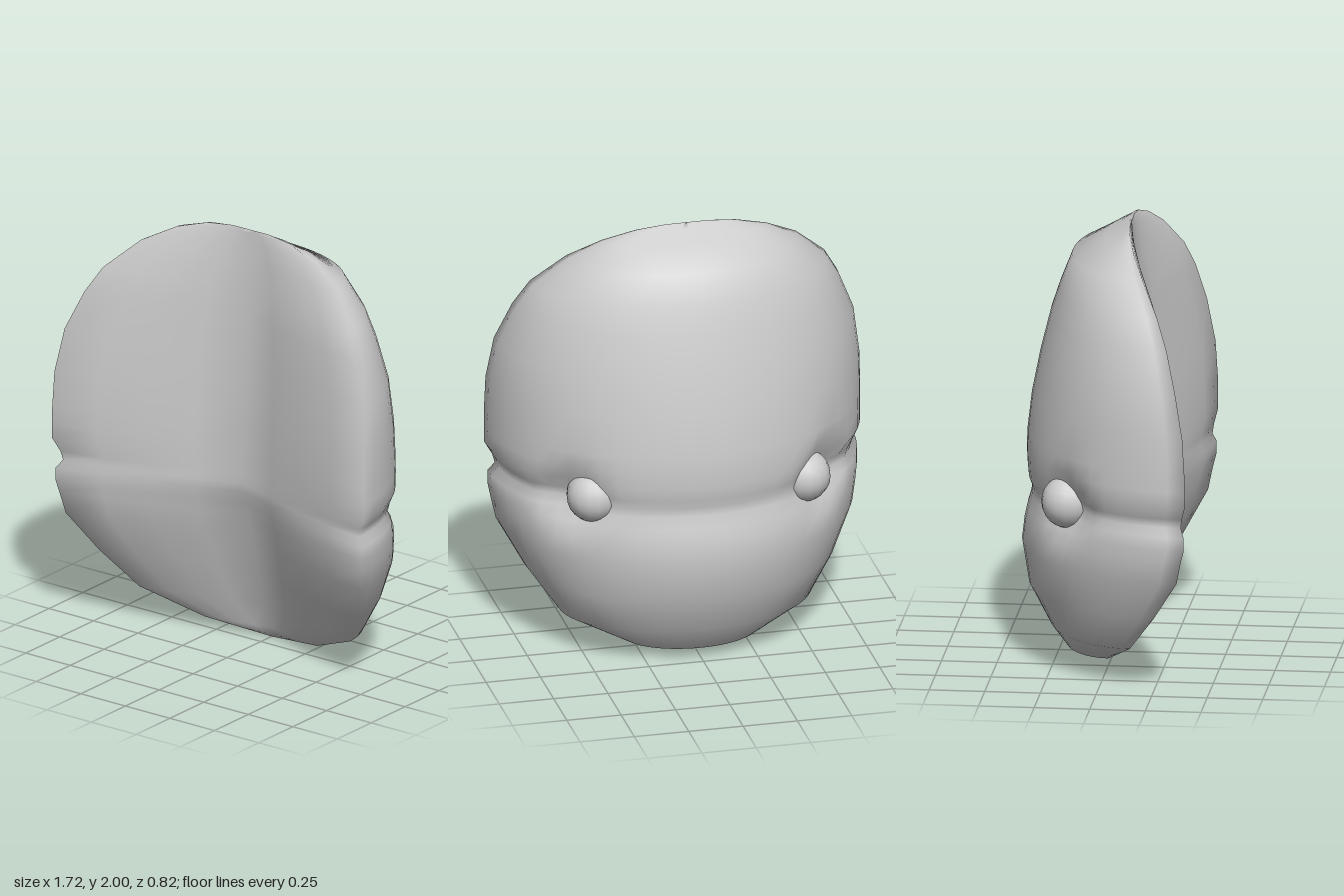
import * as THREE from 'three';
import { mergeVertices } from 'three/addons/utils/BufferGeometryUtils.js';

// Horizontal sections: height, half width, rim z, hollow centre z, outer centre z
const SECTIONS = [
  [0, 0, -0.08, -0.08, -0.08],
  [0.05, 0.31, 0.0, -0.065, -0.21],
  [0.17, 0.58, 0.12, -0.03, -0.285],
  [0.35, 0.71, 0.24, 0.02, -0.38],
  [0.54, 0.815, 0.35, 0.07, -0.41],
  [0.64, 0.835, 0.37, 0.1, -0.398],
  [0.70, 0.845, 0.385, 0.115, -0.385],
  [0.76, 0.845, 0.385, 0.135, -0.367],
  [0.80, 0.815, 0.37, 0.14, -0.365],
  [0.84, 0.825, 0.375, 0.137, -0.38],
  [0.90, 0.86, 0.39, 0.134, -0.385],
  [0.97, 0.86, 0.39, 0.131, -0.388],
  [1.05, 0.86, 0.39, 0.127, -0.385],
  [1.22, 0.855, 0.38, 0.118, -0.365],
  [1.42, 0.825, 0.345, 0.108, -0.325],
  [1.60, 0.75, 0.30, 0.1, -0.28],
  [1.72, 0.68, 0.255, 0.094, -0.24],
  [1.86, 0.53, 0.175, 0.086, -0.185],
  [1.94, 0.38, 0.12, 0.083, -0.03],
  [1.985, 0.23, 0.09, 0.081, 0.05],
  [2, 0.1, 0.08, 0.08, 0.08],
];
const EYE = new THREE.Vector3(0.485, 0.82, -0.155);
const EYE_RADIUS = 0.12;
const OUTER_STEPS = 32;
// Hollow face across the width: fraction of half width, fraction of depth to rim
const HOLLOW = [[0.75, 0.83], [0.5, 0.6], [0.25, 0.29], [0, 0],
  [-0.25, 0.29], [-0.5, 0.6], [-0.75, 0.83]];

// Press the outer surface inward around each eye
function dentSocket(p) {
  const side = Math.sign(p.x) || 1;
  const centre = new THREE.Vector3(side * 0.59, EYE.y, -0.16);
  const d = p.distanceTo(centre);
  if (d < 0.18) {
    const depth = 0.055 * Math.pow(Math.cos((d / 0.18) * Math.PI / 2), 0.7);
    p.x -= side * depth * 0.75;
    p.z += depth * 0.65;
  }
}

function sectionLoop([y, w, rim, hollow, outer]) {
  const loop = [];
  const lean = (u) => -0.02 * u * Math.abs(u) * (w / 0.86); // slight left-right twist
  for (let i = 0; i <= OUTER_STEPS; i++) {
    const a = -Math.PI / 2 + (i / OUTER_STEPS) * Math.PI;
    const u = Math.sin(a);
    const p = new THREE.Vector3(w * u, y, rim + (outer - rim) * Math.cos(a) + lean(u));
    dentSocket(p);
    loop.push(p);
  }
  for (const [u, f] of HOLLOW) {
    loop.push(new THREE.Vector3(w * u, y, hollow + (rim - hollow) * f + lean(u)));
  }
  return loop;
}

function shellGeometry() {
  const loops = SECTIONS.map(sectionLoop);
  const n = loops[0].length;
  const positions = loops.flat().flatMap((p) => [p.x, p.y, p.z]);
  const index = [];
  for (let j = 0; j < loops.length - 1; j++) {
    for (let i = 0; i < n; i++) {
      const k = (i + 1) % n;
      const a = j * n + i, b = j * n + k, c = a + n, d = b + n;
      index.push(a, c, b, b, c, d);
    }
  }
  const geometry = new THREE.BufferGeometry();
  geometry.setAttribute('position', new THREE.Float32BufferAttribute(positions, 3));
  geometry.setIndex(index);
  const merged = mergeVertices(geometry, 1e-4);
  merged.computeVertexNormals();
  return merged;
}

export function createModel() {
  const grey = new THREE.MeshStandardMaterial({ color: 0xcccccc });
  grey.name = 'pale grey';

  const model = new THREE.Group();
  model.name = 'mask';

  // Curved mask body, hollow toward the front
  const shell = new THREE.Mesh(shellGeometry(), grey);
  shell.name = 'maskShell';
  model.add(shell);

  // Eyeballs set in the sockets of the outer face
  for (const side of [1, -1]) {
    const eye = new THREE.Mesh(new THREE.SphereGeometry(EYE_RADIUS, 16, 12), grey);
    eye.name = side > 0 ? 'leftEye' : 'rightEye';
    eye.position.set(side * EYE.x, EYE.y, EYE.z);
    model.add(eye);
  }
  return model;
}
